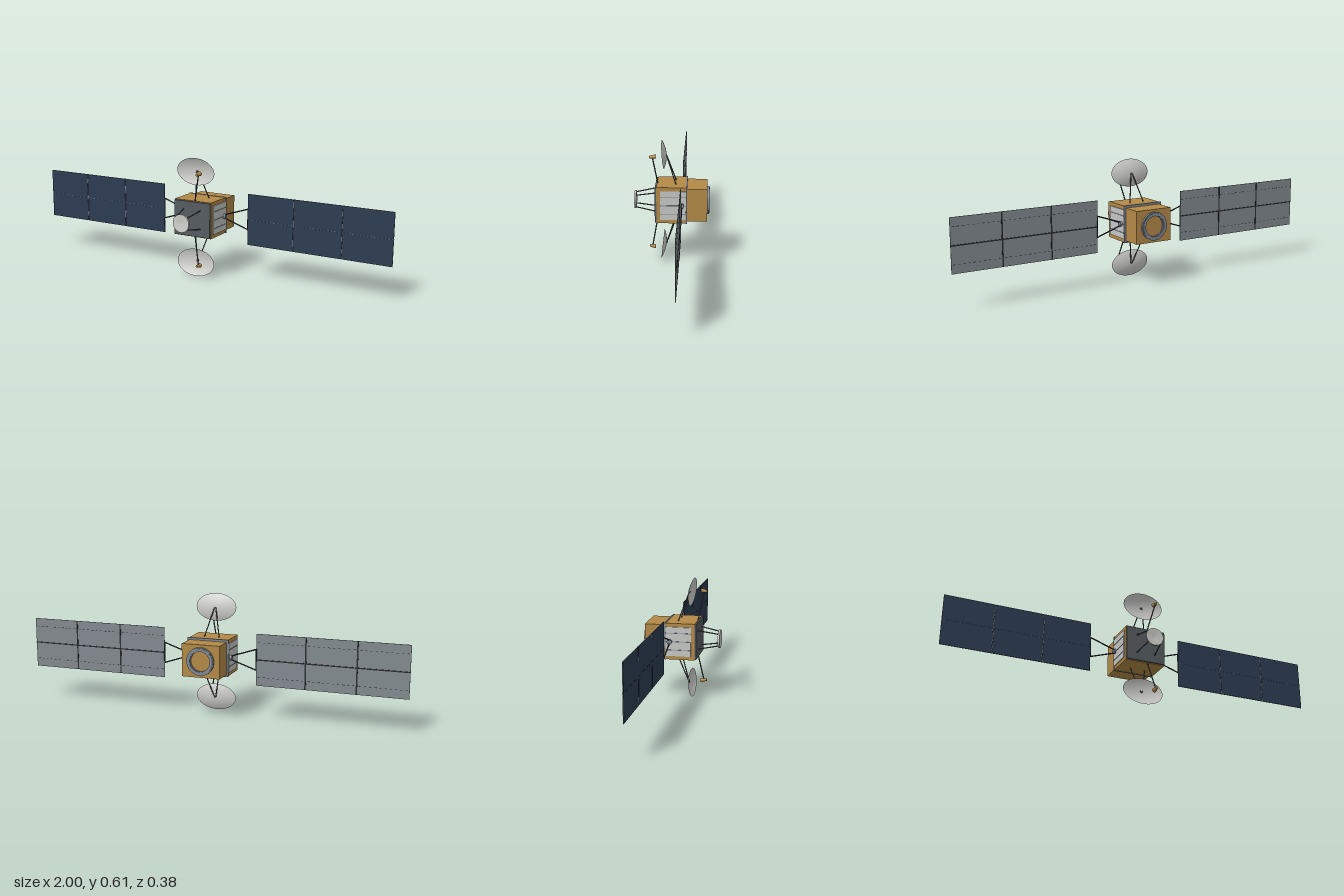
import * as THREE from 'three';

const mat = (name, color, side = THREE.FrontSide) => {
  const m = new THREE.MeshStandardMaterial({ color, side });
  m.name = name;
  return m;
};

export function createModel() {
  const gold = mat('gold foil', 0xb58a48);
  const white = mat('radiator white', 0xc6c8c6);
  const dishGrey = mat('dish grey', 0xcfcfcb, THREE.DoubleSide);
  const steel = mat('blue steel', 0x808a94, THREE.DoubleSide);
  const dark = mat('dark plate', 0x555b5f);
  const strutGrey = mat('strut grey', 0x4c5052);
  const navy = mat('solar cell navy', 0x2c3c52);
  const backGrey = mat('panel back grey', 0x828a8f);
  const black = mat('hinge black', 0x2a2d30);

  const model = new THREE.Group();
  model.name = 'satellite';
  const CY = 0.309; // height of the centre line
  const PZ = -0.05; // depth of the solar wings

  const add = (name, geo, material, x = 0, y = 0, z = 0) => {
    const m = new THREE.Mesh(geo, material);
    m.name = name;
    m.position.set(x, CY + y, z);
    model.add(m);
    return m;
  };
  const box = (name, material, w, h, d, x, y, z) =>
    add(name, new THREE.BoxGeometry(w, h, d), material, x, y, z);
  const UP = new THREE.Vector3(0, 1, 0);
  // round bar between two points given relative to the centre line
  const rod = (name, a, b, r0, r1 = r0, material = strutGrey) => {
    const A = new THREE.Vector3(...a), B = new THREE.Vector3(...b);
    const d = B.clone().sub(A);
    const mid = A.add(B).multiplyScalar(0.5);
    const m = add(name, new THREE.CylinderGeometry(r1, r0, d.length(), 16), material, mid.x, mid.y, mid.z);
    m.quaternion.setFromUnitVectors(UP, d.normalize());
    return m;
  };
  const lathe = (pts, n = 48) => new THREE.LatheGeometry(pts.map(p => new THREE.Vector2(...p)), n);

  // body
  box('mainBody', gold, 0.21, 0.185, 0.152, 0, 0, 0);
  box('rearBody', gold, 0.198, 0.166, 0.104, 0, 0, -0.126);
  box('bodyBand', steel, 0.217, 0.189, 0.006, 0, 0, -0.074);
  box('frontPlate', dark, 0.206, 0.178, 0.008, 0, 0, 0.08);

  // engine ring at the rear
  const ring = add('rearRing', lathe([
    [0.05, 0], [0.05, 0.009], [0.053, 0.009], [0.053, 0.013], [0.066, 0.013],
    [0.066, 0.011], [0.071, 0.011], [0.071, 0]]).toNonIndexed(), steel, 0, 0, -0.177);
  ring.geometry.computeVertexNormals();
  ring.rotation.x = -Math.PI / 2;

  // front antenna drum on four legs
  const drum = add('frontAntenna', lathe([
    [0, 0], [0.046, 0], [0.046, 0.009], [0.043, 0.009], [0, 0.005]], 32).toNonIndexed(), dishGrey, 0, 0, 0.182);
  drum.geometry.computeVertexNormals();
  drum.rotation.x = Math.PI / 2;
  for (const sx of [-1, 1]) for (const sy of [-1, 1])
    rod('antennaLeg', [sx * 0.048, sy * 0.048, 0.082], [sx * 0.033, sy * 0.03, 0.184], 0.003);

  // reflector dishes above and below, each with its feed horn
  const profile = [];
  for (let i = 0; i <= 12; i++) profile.push([i / 12, 0.018 * (i / 12) ** 2 - 0.018]);
  for (const s of [1, -1]) {
    const geo = lathe(profile, 64);
    geo.rotateX(Math.PI / 2);
    geo.scale(0.107, 0.07, 1);
    geo.computeVertexNormals();
    const dish = add('dish', geo, dishGrey, 0, s * 0.2355, 0.047);
    dish.rotation.x = s * 0.1;
    for (const sx of [-1, 1])
      rod('dishStrut', [sx * 0.04, s * 0.09, -0.02], [sx * 0.003, s * 0.236, 0.03], 0.0028);
    rod('dishNode', [0, s * 0.234, 0.026], [0, s * 0.233, 0.033], 0.005);
    rod('feedArm', [0.012, s * 0.09, 0.073], [0.045, s * 0.228, 0.097], 0.0032);
    rod('feedHorn', [0.045, s * 0.2325, 0.113], [0.045, s * 0.236, 0.082], 0.006, 0.0115, gold);
  }

  // both sides: radiator, wing hub, yoke and solar wing
  for (const s of [-1, 1]) {
    box('radiator', white, 0.006, 0.148, 0.129, s * 0.107, 0, -0.0065);
    for (const y of [-0.043, 0, 0.043])
      box('radiatorPipe', steel, 0.003, 0.003, 0.129, s * 0.111, y, -0.0065);
    rod('wingHub', [s * 0.104, 0, PZ], [s * 0.121, 0, PZ], 0.013, 0.013, steel);
    for (const sy of [-1, 1])
      rod('yokeArm', [s * 0.112, sy * 0.008, PZ], [s * 0.246, sy * 0.053, PZ], 0.0033, 0.0033, black);
    rod('yokeBar', [s * 0.246, -0.055, PZ], [s * 0.246, 0.055, PZ], 0.0033, 0.0033, black);

    for (let i = 0; i < 3; i++) {
      const x = s * (0.3705 + i * 0.252);
      box('panel', backGrey, 0.249, 0.262, 0.003, x, 0, PZ);
      // cells in two rows on the sunny side
      for (const sy of [-1, 1]) {
        box('solarCells', navy, 0.247, 0.1295, 0.001, x, sy * 0.0653, PZ + 0.002);
        // dashed clips on the back
        for (let k = 0; k < 10; k++)
          box('panelClip', black, 0.011, 0.002, 0.001, x + (k - 4.5) * 0.0245, sy * 0.088, PZ - 0.0019);
      }
      box('panelSpine', black, 0.249, 0.006, 0.002, x, 0, PZ - 0.0024);
      // hinge between neighbouring panels
      if (i > 0) box('panelHinge', black, 0.007, 0.262, 0.0015, x - s * 0.126, 0, PZ - 0.0022);
    }
  }
  return model;
}
